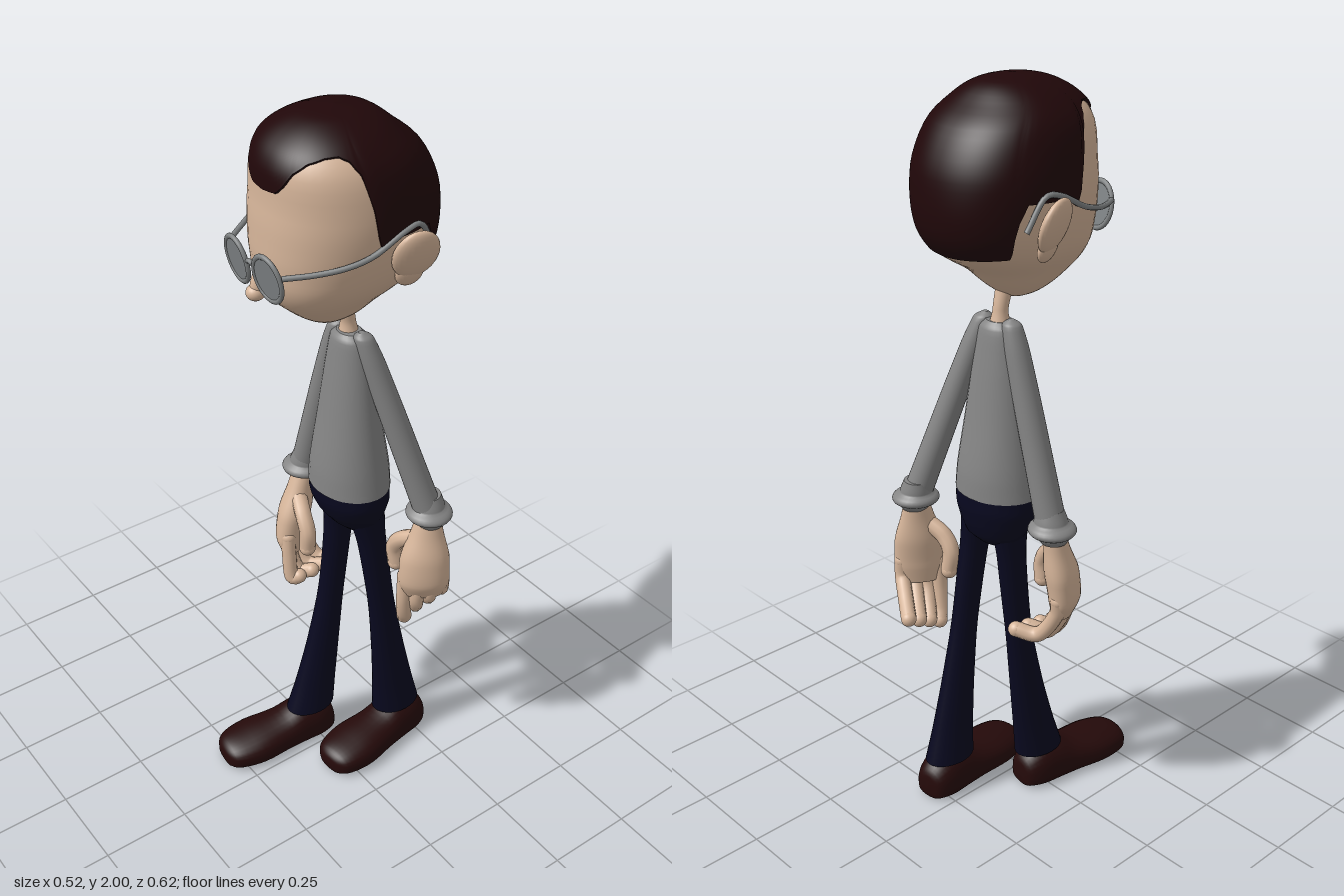
import * as THREE from 'three';

const mat = (name, color) => Object.assign(new THREE.MeshStandardMaterial({ color }), { name });
const lerp = THREE.MathUtils.lerp;

// Smooth surface closed around its axis; f(angle, v) returns [x, y, z] for each v in rows
function surface(nu, rows, f) {
  const pos = [], idx = [];
  rows.forEach((v) => {
    for (let i = 0; i < nu; i++) pos.push(...f((i / nu) * Math.PI * 2, v));
  });
  for (let j = 0; j < rows.length - 1; j++) {
    for (let i = 0; i < nu; i++) {
      const k = (i + 1) % nu, a = j * nu + i, b = j * nu + k, c = a + nu, d = b + nu;
      idx.push(a, c, b, b, c, d);
    }
  }
  const g = new THREE.BufferGeometry();
  g.setAttribute('position', new THREE.Float32BufferAttribute(pos, 3));
  g.setIndex(idx);
  g.computeVertexNormals();
  return g;
}
const steps = (n) => Array.from({ length: n + 1 }, (_, i) => i / n);
const spline = (pts) => new THREE.CatmullRomCurve3(pts.map((p) => new THREE.Vector3(...p)));

// Rings [x, y, z, rx, rz] from top to bottom, smoothly joined, with flat crisp ends
function loft(rings, nu = 28) {
  const centre = spline(rings.map((r) => r.slice(0, 3)));
  const size = spline(rings.map((r) => [r[3], r[4] ?? r[3], 0]));
  return surface(nu, [-1, 0, ...steps(24), 1, 2], (a, v) => {
    const t = THREE.MathUtils.clamp(v, 0, 1), k = t === v ? 1 : 0;
    const p = centre.getPoint(t), s = size.getPoint(t);
    return [p.x + s.x * k * Math.sin(a), p.y, p.z + s.y * k * Math.cos(a)];
  });
}
const tube = (pts, r) => new THREE.TubeGeometry(spline(pts), 32, r, 10);

// Head outline from crown to chin: half width, height, half depth, and depth centre
const HX = -0.018;
const outline = [
  [0, 2.0, 0, -0.035], [0.08, 1.987, 0.09, -0.033], [0.145, 1.95, 0.15, -0.028], [0.188, 1.895, 0.2, -0.042],
  [0.208, 1.8, 0.226, -0.062], [0.207, 1.72, 0.233, -0.063], [0.194, 1.65, 0.229, -0.059], [0.17, 1.59, 0.206, -0.042],
  [0.122, 1.53, 0.142, -0.016], [0.078, 1.483, 0.088, -0.018], [0.038, 1.456, 0.043, -0.02], [0, 1.447, 0, -0.02],
];
const headSize = spline(outline.map((o) => o.slice(0, 3)));
const headMid = spline(outline.map((o) => [0, 0, o[3]]));
const squarish = (c) => Math.sign(c) * Math.abs(c) ** 0.9;
function headPoint(a, t, k) {
  const s = headSize.getPoint(t), z = headMid.getPoint(t).z;
  return [HX + Math.max(0, s.x) * k * squarish(Math.sin(a)), 1.72 + (s.y - 1.72) * k,
    -0.06 + (z + 0.06 + Math.max(0, s.z) * squarish(Math.cos(a))) * k];
}
// Hairline height by angle from the front, in degrees
const hairline = [[0, 1.845], [11, 1.85], [17, 1.87], [25, 1.905], [36, 1.928], [50, 1.94], [62, 1.943], [70, 1.933], [75, 1.905],
  [79, 1.77], [82, 1.715], [90, 1.74], [115, 1.742], [120, 1.7], [126, 1.607], [180, 1.597]];
function hairEnd(a) {
  const d = Math.abs((((a * 180) / Math.PI + 180) % 360) - 180);
  let i = 0;
  while (i < hairline.length - 2 && d > hairline[i + 1][0]) i++;
  const [d0, y0] = hairline[i], [d1, y1] = hairline[i + 1];
  const y = lerp(y0, y1, (d - d0) / (d1 - d0));
  let lo = 0, hi = 1;
  for (let n = 0; n < 24; n++) {
    const m = (lo + hi) / 2;
    if (headSize.getPoint(m).y > y) lo = m; else hi = m;
  }
  return lo;
}

export function createModel() {
  const model = new THREE.Group();
  model.name = 'cartoonMan';
  const skin = mat('skin', 0xd6b59a), hair = mat('hair', 0x200709), shirt = mat('shirt', 0x858585);
  const trousers = mat('trousers', 0x08081f), shoe = mat('shoeLeather', 0x250a0a);
  const frame = mat('frameMetal', 0x808384), lens = mat('lens', 0x808486);

  const add = (name, geo, material, parent = model) => {
    const m = new THREE.Mesh(geo, material);
    m.name = name;
    parent.add(m);
    return m;
  };
  const group = (name, parent = model) => {
    const g = new THREE.Group();
    g.name = name;
    parent.add(g);
    return g;
  };
  const ball = (name, p, r, parent) => {
    const m = add(name, new THREE.SphereGeometry(1, 24, 16), skin, parent);
    m.position.set(...p);
    m.scale.set(...r);
    return m;
  };

  // Head, hair, nose and neck
  add('head', surface(48, steps(40), (a, t) => headPoint(a, t, 0.975)), skin);
  add('hair', surface(144, [...steps(28), 1, 2], (a, v) => headPoint(a, Math.min(v, 1) * hairEnd(a), v > 1 ? 0.955 : 1)), hair);
  ball('nose', [-0.022, 1.612, 0.175], [0.019, 0.045, 0.022]).rotation.x = -0.25;
  ball('noseTip', [-0.024, 1.588, 0.184], [0.023, 0.021, 0.025]);
  add('neck', loft([[HX, 1.48, -0.07, 0.022], [HX, 1.43, -0.082, 0.02], [HX, 1.38, -0.085, 0.03]]), skin);

  // Ears and glasses, mirrored about the middle of the head
  const glasses = group('glasses');
  for (const s of [1, -1]) {
    const side = s > 0 ? 'left' : 'right';
    const ear = group(side + 'Ear');
    ear.position.set(HX + s * 0.213, 1.676, -0.113);
    ear.rotation.set(0, -s * 0.25, -s * 0.32);
    ball('earShell', [0, 0.015, 0], [0.021, 0.07, 0.06], ear);
    ball('earLobe', [-s * 0.003, -0.045, 0.005], [0.017, 0.04, 0.036], ear);

    const eye = group(side + 'Eyepiece', glasses);
    eye.position.set(HX + s * 0.063, 1.655, 0.195);
    eye.rotation.set(0.17, s * 0.08, 0);
    eye.scale.y = 1.2;
    add('rim', new THREE.TorusGeometry(0.049, 0.006, 10, 36), frame, eye);
    add('lens', new THREE.CylinderGeometry(0.048, 0.048, 0.006, 32), lens, eye).rotation.x = Math.PI / 2;
    const temple = [[0.112, 1.675, 0.19], [0.155, 1.683, 0.122], [0.187, 1.695, 0.06], [0.203, 1.712, 0],
      [0.21, 1.753, -0.085], [0.207, 1.758, -0.13], [0.196, 1.68, -0.182]];
    add(side + 'Temple', tube(temple.map(([d, y, z]) => [HX + s * d, y, z]), 0.007), frame, glasses);
  }
  add('bridge', tube([[HX - 0.018, 1.668, 0.198], [HX, 1.678, 0.203], [HX + 0.018, 1.668, 0.198]], 0.006), frame, glasses);

  // Jumper and hips
  const CX = -0.012;
  add('jumper', loft([[CX, 1.402, -0.082, 0.036, 0.03], [CX, 1.385, -0.083, 0.056, 0.043], [CX, 1.3, -0.084, 0.073, 0.056],
    [CX, 1.15, -0.085, 0.095, 0.077], [CX, 1.0, -0.087, 0.117, 0.1], [CX, 0.94, -0.087, 0.124, 0.103]]), shirt);
  add('hips', loft([[CX, 0.952, -0.087, 0.122, 0.1], [CX, 0.91, -0.088, 0.124, 0.1], [CX, 0.86, -0.093, 0.11, 0.087],
    [CX, 0.82, -0.1, 0.09, 0.065], [CX, 0.795, -0.1, 0.065, 0.04]]), trousers);

  // Flared trouser legs running from hip to ankle, the right one striding forward
  const flare = [[0.88, 0.045, 0.06], [0.76, 0.034, 0.043], [0.55, 0.031, 0.04], [0.35, 0.037, 0.051], [0.2, 0.046, 0.065], [0.11, 0.055, 0.076]];
  const leg = (name, hip, ankle, bend) => add(name, loft(flare.map(([y, rx, rz]) => {
    const u = (0.88 - y) / 0.77;
    return [lerp(hip[0], ankle[0], Math.sqrt(u)), y, lerp(hip[1], ankle[1], u ** bend), rx, rz];
  })), trousers);
  leg('rightTrouserLeg', [-0.06, -0.095], [-0.071, 0.005], 1.7);
  leg('leftTrouserLeg', [0.042, -0.098], [0.069, -0.208], 0.95);

  // Shoes: heel-to-toe sections of half width, height and distance, with a flattened sole
  const sections = spline([[0, 0.04, 0], [0.042, 0.085, 0.008], [0.062, 0.117, 0.05], [0.066, 0.12, 0.11],
    [0.07, 0.097, 0.17], [0.08, 0.084, 0.27], [0.063, 0.07, 0.34], [0.037, 0.055, 0.36], [0, 0.035, 0.366]]);
  const shoeShape = surface(28, steps(36), (a, t) => {
    const p = sections.getPoint(t), c = Math.cos(a), w = Math.max(0, p.x), base = 0.032;
    const y = c > 0 ? base + (p.y - base) * c ** 0.8 : base - base * Math.sqrt(-c) * Math.min(1, w / 0.04);
    return [w * Math.sin(a), y, p.z];
  });
  for (const [name, x, z, turn] of [['rightShoe', -0.066, -0.064, -0.11], ['leftShoe', 0.066, -0.296, 0.11]]) {
    const m = add(name, shoeShape, shoe);
    m.position.set(x, 0.003, z);
    m.rotation.y = turn;
  }

  // Arms: straight sleeves, soft cuffs, and hands laid out from the wrist (s mirrors, tilt swings the hand forward)
  const sleeveRadii = [[-0.025, 0.008], [0, 0.025], [0.115, 0.032], [0.385, 0.036], [0.77, 0.039], [1, 0.041]];
  function arm(side, s, shoulder, wrist, tilt, reach, slope, curl) {
    add(side + 'Sleeve', loft(sleeveRadii.map(([u, r]) => [...shoulder.map((c, i) => lerp(c, wrist[i], u)), r])), shirt);
    const [x, y, z] = wrist;
    add(side + 'Cuff', loft([[0.055, 0.037], [0.02, 0.045], [-0.015, 0.045], [-0.032, 0.034]].map(([h, r]) => [x - s * h * 0.2, y + h, z, r])), shirt);

    const hand = group(side + 'Hand');
    hand.position.set(...wrist);
    hand.rotation.y = -s * 0.6;
    const at = (dx, dy, dz) => [s * dx, dy, dz - tilt * dy];
    add('palm', loft([[...at(0, 0.01, 0), 0.028], [...at(0.01, -0.06, 0.004), 0.035, 0.045], [...at(0.022, -0.14, 0.008), 0.045, 0.068],
      [...at(0.028, -0.21, 0.008), 0.042, 0.07], [...at(0.022, -0.26, 0.008), 0.028, 0.055]]), skin, hand);
    const digit = (name, path, r) => {
      add(name, tube(path, r), skin, hand);
      for (const end of [path[0], path[3]]) ball(name + 'End', end, [r, r, r], hand);
    };
    for (let i = 0; i < 4; i++) {
      const kx = 0.036 - 0.007 * (i - 1.5) ** 2, kz = 0.06 - 0.034 * i;
      const tx = -0.015 - 0.027 * i, ty = slope * i - reach;
      digit('finger' + (i + 1), [at(kx, -0.2, kz), at(kx - 0.004, ty * 0.78, kz),
        at((kx + tx) / 2, ty + curl, kz * 0.95), at(tx, ty, kz * 0.9)], 0.021);
    }
    digit('thumb', [at(0.005, -0.08, 0.03), at(-0.025, -0.11, 0.07), at(-0.045, -0.15, 0.086), at(-0.045, -0.205, 0.08)], 0.023);
  }
  arm('right', -1, [-0.062, 1.4, -0.085], [-0.2, 0.88, -0.075], 0.13, 0.325, 0.005, -0.008);
  arm('left', 1, [0.036, 1.4, -0.09], [0.178, 0.885, -0.212], 0, 0.378, 0.02, 0.03);
  return model;
}
